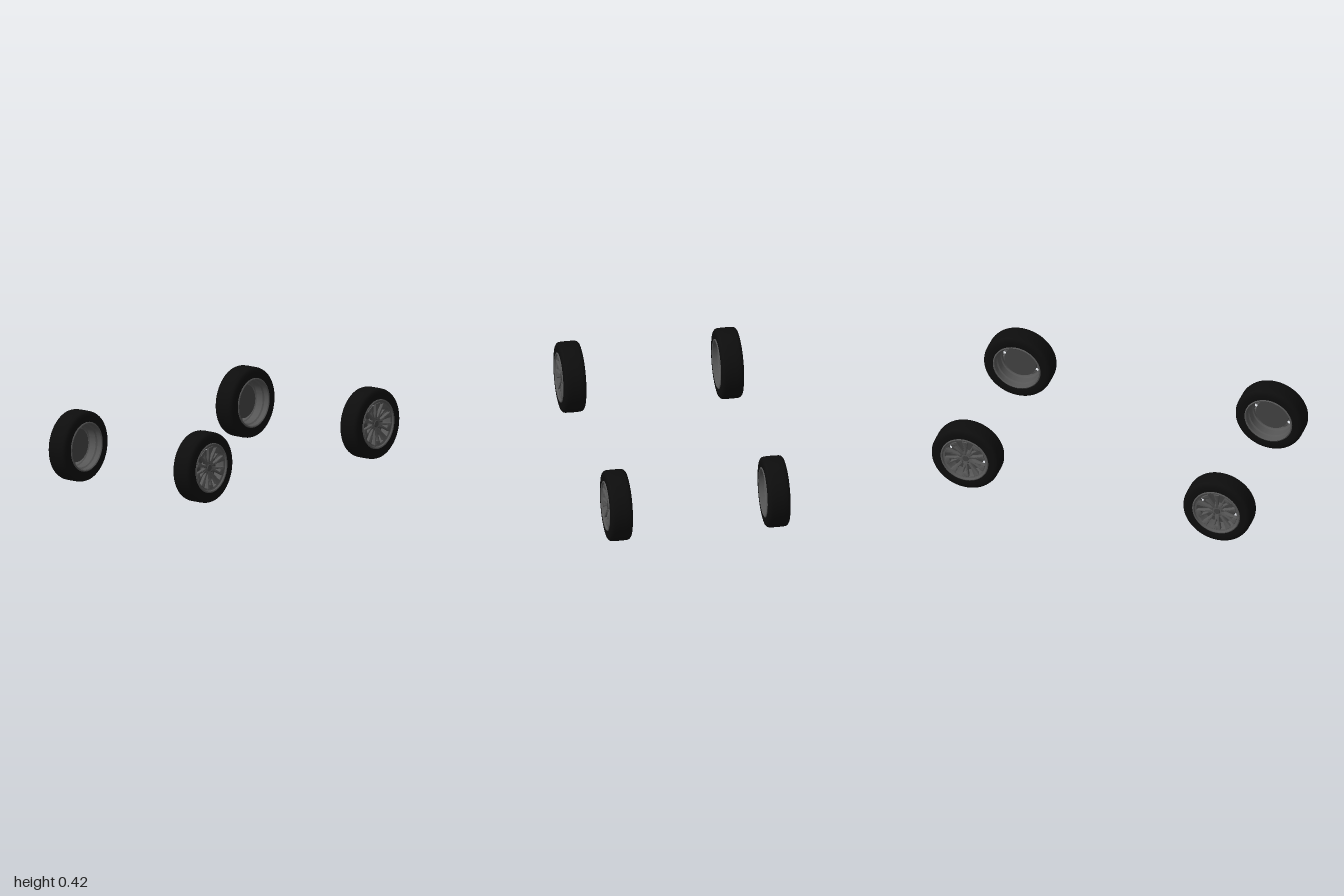
import * as THREE from 'three';
import { toCreasedNormals } from 'three/addons/utils/BufferGeometryUtils.js';

const material = (name, color) => {
  const m = new THREE.MeshStandardMaterial({ color });
  m.name = name;
  return m;
};

// Revolve a closed [radius, axial] outline about z, which points out of the wheel
function ring(points, segments = 64) {
  const pts = points.map(([r, z]) => new THREE.Vector2(r, z));
  pts.push(pts[0].clone());
  return toCreasedNormals(new THREE.LatheGeometry(pts, segments).rotateX(Math.PI / 2), 0.6);
}

// Disc or stud along z
function disc(radius, back, front, top = radius, segments = 40) {
  return new THREE.CylinderGeometry(top, radius, front - back, segments)
    .rotateX(Math.PI / 2).translate(0, 0, (front + back) / 2);
}

// Extruded spoke, dished so that its outer end stands proud of the hub
function spokeGeometry(outline, opening) {
  const shape = new THREE.Shape(outline.map(([x, y]) => new THREE.Vector2(x, y)));
  if (opening) shape.holes.push(new THREE.Path(opening.map(([x, y]) => new THREE.Vector2(x, y))));
  const geo = new THREE.ExtrudeGeometry(shape, {
    depth: 0.014, bevelEnabled: true, bevelThickness: 0.004, bevelSize: 0.003, bevelOffset: -0.003, bevelSegments: 2,
  });
  const p = geo.attributes.position;
  for (let i = 0; i < p.count; i++) {
    const r = Math.hypot(p.getX(i), p.getY(i));
    p.setZ(i, p.getZ(i) + 0.03 + 0.015 * (r / 0.128) ** 2);
  }
  return toCreasedNormals(geo, 0.5);
}

export function createModel() {
  const rubber = material('black rubber', 0x0d0d0d);
  const alloy = material('grey alloy', 0x565656);
  const dark = material('dark metal', 0x424242);

  // Tyre with rounded shoulders
  const tyre = ring([
    [0.146, -0.064], [0.16, -0.0665], [0.185, -0.067], [0.198, -0.064], [0.207, -0.057], [0.211, -0.045],
    [0.212, -0.02], [0.212, 0.02], [0.211, 0.045], [0.207, 0.057], [0.198, 0.064], [0.185, 0.067],
    [0.16, 0.0665], [0.146, 0.064],
  ], 80);

  // Stepped barrel with a lip on both sides
  const barrel = ring([
    [0.15, -0.062], [0.15, 0.062], [0.149, 0.067], [0.144, 0.07], [0.139, 0.068], [0.136, 0.06], [0.125, 0.056],
    [0.123, 0.05], [0.123, 0.022], [0.129, 0.016], [0.129, -0.03], [0.136, -0.037], [0.138, -0.066],
    [0.143, -0.07], [0.149, -0.067],
  ], 80);

  const narrowSpoke = spokeGeometry([
    [-0.007, 0.025], [0.007, 0.025], [0.008, 0.07], [0.014, 0.105], [0.018, 0.127], [-0.018, 0.127],
    [-0.014, 0.105], [-0.008, 0.07],
  ]);
  const forkedSpoke = spokeGeometry([
    [-0.011, 0.025], [0.011, 0.025], [0.014, 0.06], [0.021, 0.1], [0.027, 0.125], [0, 0.128], [-0.027, 0.125],
    [-0.021, 0.1], [-0.014, 0.06],
  ], [[0, 0.058], [-0.01, 0.1], [0.01, 0.1]]);

  // Hub face, cap and backing disc
  const hub = disc(0.044, 0.018, 0.048, 0.041);
  const cap = disc(0.02, 0.046, 0.053, 0.018);
  const backDisc = disc(0.101, 0.004, 0.016);
  const bolt = disc(0.0055, 0.046, 0.052, 0.0048, 6);

  function wheel(name) {
    const g = new THREE.Group();
    g.name = name;
    const add = (part, geo, mat) => {
      const m = new THREE.Mesh(geo, mat);
      m.name = part;
      g.add(m);
      return m;
    };
    add('tyre', tyre, rubber);
    add('rimBarrel', barrel, alloy);
    add('hub', hub, alloy);
    add('hubCap', cap, dark);
    add('backDisc', backDisc, dark);
    for (let i = 0; i < 5; i++) {
      const a = (i * Math.PI * 2) / 5;
      add('narrowSpoke', narrowSpoke, alloy).rotation.z = a;
      add('forkedSpoke', forkedSpoke, alloy).rotation.z = a + Math.PI / 5;
      add('wheelBolt', bolt, dark).position.set(-Math.sin(a) * 0.031, Math.cos(a) * 0.031, 0);
    }
    return g;
  }

  // Four wheels, spoked faces outwards
  const model = new THREE.Group();
  model.name = 'wheelSet';
  for (const [end, z] of [['front', 0.788], ['rear', -0.788]]) {
    for (const [side, s] of [['Left', 1], ['Right', -1]]) {
      const w = wheel(end + side + 'Wheel');
      w.position.set(s * 0.474, 0.212, z);
      w.rotation.y = (s * Math.PI) / 2;
      model.add(w);
    }
  }
  return model;
}
